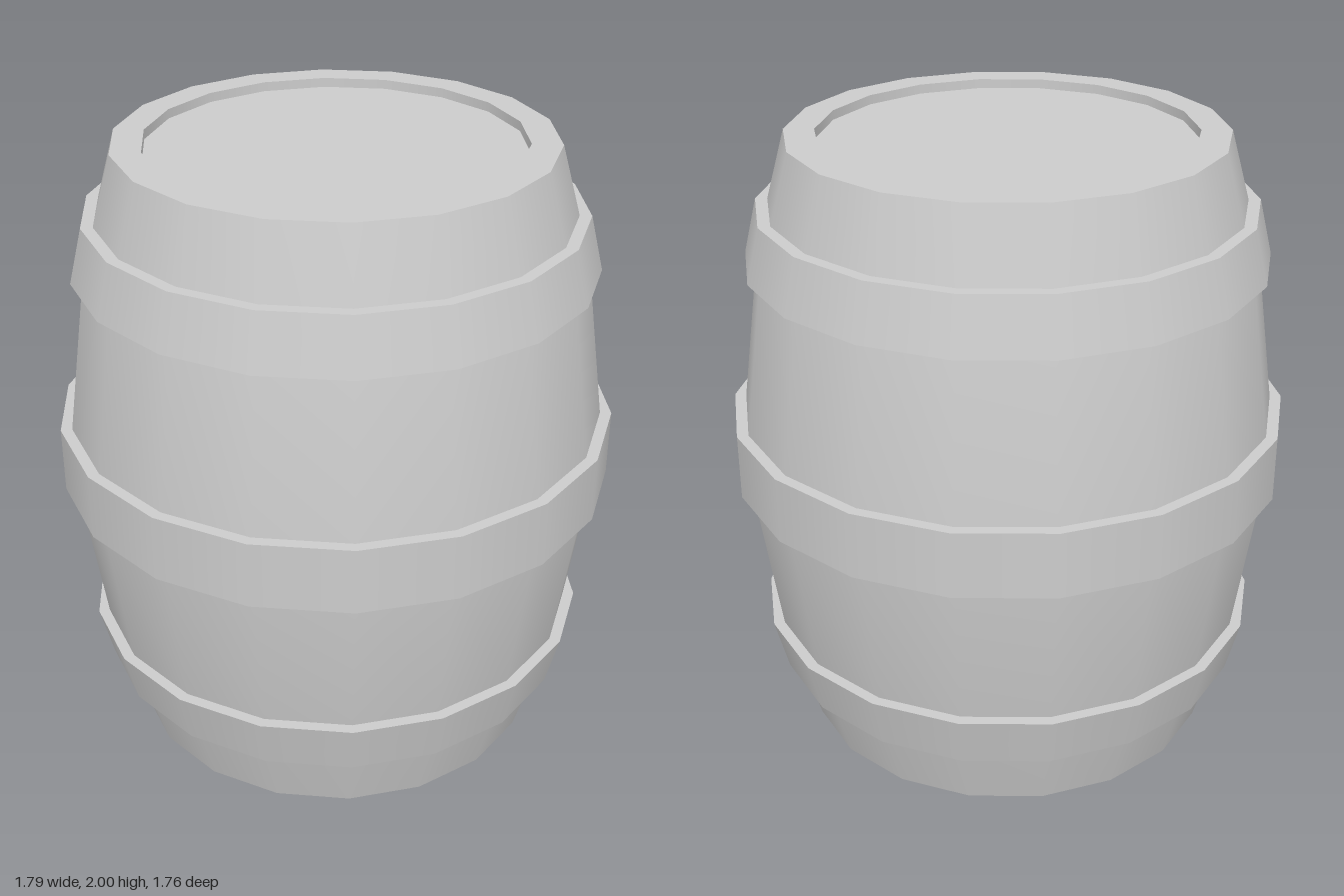
import * as THREE from 'three';
import { mergeGeometries } from 'three/addons/utils/BufferGeometryUtils.js';

const SIDES = 18;
const material = new THREE.MeshStandardMaterial({ color: 0xcccccc });

// Revolve a [radius, y] profile, with a vertex of the polygon on the x axis
function revolve(profile) {
  const points = profile.map(([r, y]) => new THREE.Vector2(r, y));
  return new THREE.LatheGeometry(points, SIDES, Math.PI / 2);
}

// Revolve each profile segment separately, keeping the edges between them sharp
function revolveSharp(profile) {
  const strips = [];
  for (let i = 0; i < profile.length - 1; i++) strips.push(revolve([profile[i], profile[i + 1]]));
  return mergeGeometries(strips);
}

function addMesh(group, name, geometry) {
  const mesh = new THREE.Mesh(geometry, material);
  mesh.name = name;
  group.add(mesh);
}

export function createModel() {
  const barrel = new THREE.Group();
  barrel.name = 'barrel';

  // Bulging staves, smooth from rim to rim
  const lower = [[0.68, 0], [0.742, 0.22], [0.787, 0.395], [0.857, 0.895]];
  const upper = lower.map(([r, y]) => [r, 2 - y]).reverse();
  addMesh(barrel, 'staves', revolve([...lower, ...upper]));

  // Heads set slightly inside the flat rims
  const rim = 0.585, recess = 0.03;
  const bottom = [[0, recess], [rim, recess], [rim, 0], [0.68, 0]];
  const top = bottom.map(([r, y]) => [r, 2 - y]).reverse();
  addMesh(barrel, 'bottomHead', revolveSharp(bottom));
  addMesh(barrel, 'topHead', revolveSharp(top));

  // Hoops: closed bands that follow the slope of the staves
  const hoop = (y0, r0, y1, r1) => {
    const t = 0.06;
    return revolveSharp([[r0 - t, y0], [r0, y0], [r1, y1], [r1 - t, y1], [r0 - t, y0]]);
  };
  addMesh(barrel, 'lowerHoop', hoop(0.22, 0.78, 0.395, 0.823));
  addMesh(barrel, 'middleHoop', hoop(0.893, 0.893, 1.107, 0.893));
  addMesh(barrel, 'upperHoop', hoop(1.605, 0.823, 1.78, 0.78));

  return barrel;
}
